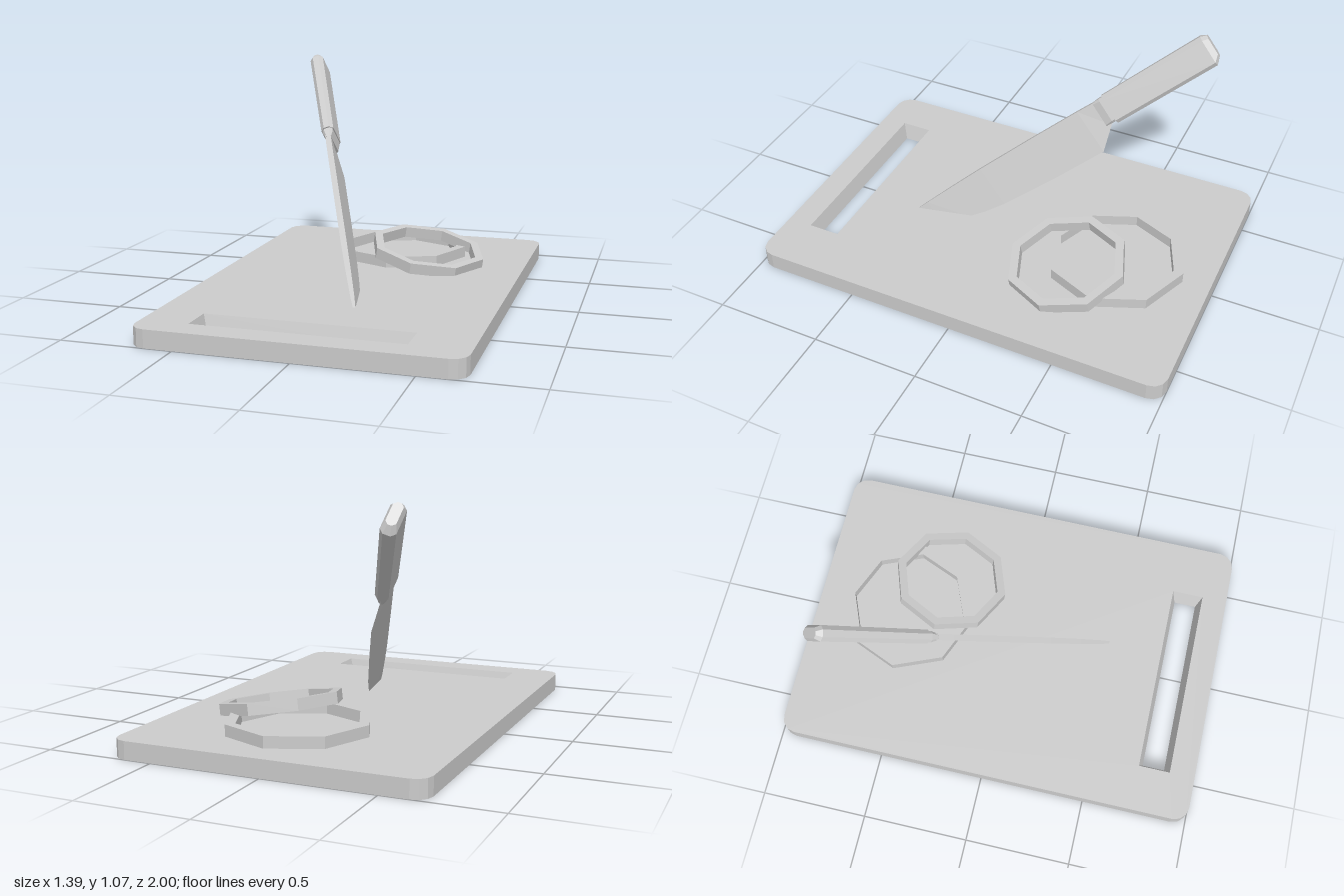
import * as THREE from 'three';

const material = new THREE.MeshStandardMaterial({ color: 0xcccccc, flatShading: true });
const sheet = new THREE.MeshStandardMaterial({ color: 0xcccccc, flatShading: true, side: THREE.DoubleSide });

function add(parent, name, geometry, mat = material) {
  const mesh = new THREE.Mesh(geometry, mat);
  mesh.name = name;
  parent.add(mesh);
  return mesh;
}

// Joins equal-sized closed loops of [x, y, z] into a skin, with optional end caps
function loft(loops, caps = true) {
  const n = loops[0].length;
  const index = [];
  for (let i = 0; i < loops.length - 1; i++) {
    for (let j = 0; j < n; j++) {
      const a = i * n + j, b = i * n + (j + 1) % n;
      index.push(a, b, b + n, a, b + n, a + n);
    }
  }
  if (caps) {
    const last = (loops.length - 1) * n;
    for (let j = 1; j < n - 1; j++) index.push(0, j + 1, j, last, last + j, last + j + 1);
  }
  const geometry = new THREE.BufferGeometry();
  geometry.setAttribute('position', new THREE.Float32BufferAttribute(loops.flat(2), 3));
  geometry.setIndex(index);
  geometry.computeVertexNormals();
  return geometry;
}

// Chamfered rectangular section across the knife at station s
function chamfered(s, w0, w1, t, c) {
  return [[w1, -t + c], [w1, t - c], [w1 - c, t], [w0 + c, t],
    [w0, t - c], [w0, -t + c], [w0 + c, -t], [w1 - c, -t]].map(([w, n]) => [s, w, n]);
}

function rectangle(x0, x1, z0, z1) {
  return [[x0, z0], [x1, z0], [x1, z1], [x0, z1]];
}

// Thin-walled board: top sheet with a slot, open underneath
function makeBoard() {
  const board = new THREE.Group();
  board.name = 'cuttingBoard';
  const X = 0.695, Z = 1, R = 0.07, TOP = 0.08;

  const outline = [];
  [[1, 1], [-1, 1], [-1, -1], [1, -1]].forEach(([sx, sz], corner) => {
    for (let k = 0; k <= 3; k++) {
      const a = (corner + k / 3) * Math.PI / 2;
      outline.push([sx * (X - R) + R * Math.cos(a), sz * (Z - R) + R * Math.sin(a)]);
    }
  });
  const slotTop = rectangle(-0.48, 0.44, 0.73, 0.88);
  const slotBottom = rectangle(-0.457, 0.412, 0.752, 0.858);

  const toShape = (points) => points.map(([x, z]) => new THREE.Vector2(x, -z));
  const atHeight = (points, y) => points.map(([x, z]) => [x, y, z]);

  const shape = new THREE.Shape(toShape(outline));
  shape.holes.push(new THREE.Path(toShape(slotTop)));
  add(board, 'boardTop', new THREE.ShapeGeometry(shape).rotateX(-Math.PI / 2).translate(0, TOP, 0), sheet);
  add(board, 'boardRim', loft([atHeight(outline, TOP), atHeight(outline, 0)], false), sheet);
  add(board, 'handSlot', loft([atHeight(slotTop, TOP), atHeight(slotBottom, 0)], false), sheet);
  return board;
}

// Eight-sided ring with a square-cut wall
function ringGeometry(outer, inner, height) {
  const h = height / 2;
  const profile = [[inner, -h], [outer, -h], [outer, h], [inner, h], [inner, -h]]
    .map(([r, y]) => new THREE.Vector2(r, y));
  return new THREE.LatheGeometry(profile, 8);
}

// Knife in local axes: x towards the tip, y from spine to edge, z through the thickness
function makeKnife() {
  const knife = new THREE.Group();
  knife.name = 'knife';

  // Blade stations: distance, spine, cutting edge, half thickness
  const stations = [
    [0.0, 0.005, 0.12, 0.014],
    [0.03, 0.005, 0.138, 0.014],
    [0.132, 0.003, 0.229, 0.014],
    [0.4, 0.003, 0.227, 0.014],
    [0.695, 0.006, 0.215, 0.014],
    [0.8, 0.009, 0.202, 0.013],
    [0.892, 0.012, 0.182, 0.012],
    [1.03, 0.018, 0.115, 0.009],
    [1.13, 0.022, 0.03, 0.003],
  ];
  add(knife, 'blade', loft(stations.map(([s, spine, edge, t]) =>
    [[s, edge, 0], [s, spine, t], [s, spine, -t]])));

  add(knife, 'bolster', loft([
    chamfered(-0.02, 0.0, 0.13, 0.026, 0.012),
    chamfered(0.012, 0.0, 0.13, 0.026, 0.012),
    chamfered(0.05, 0.004, 0.13, 0.013, 0.006),
  ]));

  add(knife, 'handle', loft([
    chamfered(-0.56, 0.0, 0.108, 0.022, 0.014),
    chamfered(-0.533, -0.012, 0.138, 0.034, 0.018),
    chamfered(-0.005, -0.006, 0.142, 0.031, 0.018),
  ]));

  // Lean the knife so that its tip is stuck in the board
  const along = new THREE.Vector3(0.345, -0.59, 0.73).normalize();
  const across = new THREE.Vector3(0.12, -0.74, -0.66);
  const through = along.clone().cross(across).normalize();
  across.crossVectors(through, along);
  knife.quaternion.setFromRotationMatrix(new THREE.Matrix4().makeBasis(along, across, through));
  knife.position.set(-0.278, 0.735, -0.31);
  return knife;
}

export function createModel() {
  const model = new THREE.Group();
  model.name = 'cuttingBoardWithKnife';
  model.add(makeBoard(), makeKnife());

  // Large ring lies flat, the small one leans on it
  const flat = add(model, 'largeRing', ringGeometry(0.325, 0.279, 0.053));
  flat.position.set(0.05, 0.105, -0.546);

  const leaning = add(model, 'smallRing', ringGeometry(0.281, 0.24, 0.052));
  leaning.position.set(0.222, 0.143, -0.371);
  leaning.quaternion.setFromUnitVectors(
    new THREE.Vector3(0, 1, 0), new THREE.Vector3(0.165, 1, 0.1).normalize());
  leaning.rotateY(-0.06);
  return model;
}
